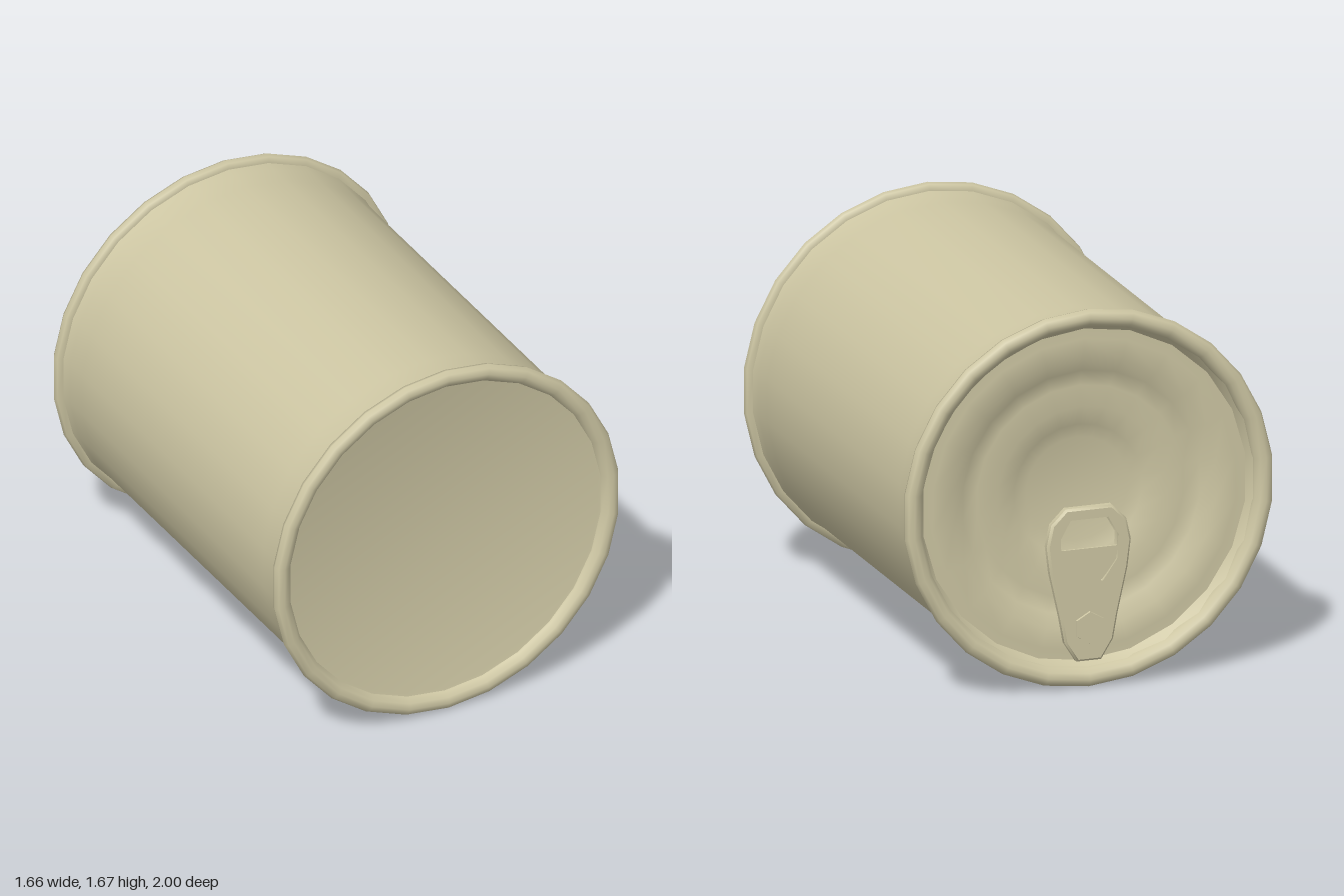
import * as THREE from 'three';
import { toCreasedNormals } from 'three/addons/utils/BufferGeometryUtils.js';

const AXIS_Y = 0.842;
const material = new THREE.MeshStandardMaterial({ color: 0xcdc6a3, side: THREE.DoubleSide });

function addMesh(parent, name, geometry, crease = 0.7) {
  const mesh = new THREE.Mesh(toCreasedNormals(geometry, crease), material);
  mesh.name = name;
  parent.add(mesh);
  return mesh;
}

// Lathe around the z axis; each point is [radius, z], listed from back to front
function turned(points, segments = 26) {
  const geometry = new THREE.LatheGeometry(points.map(([r, z]) => new THREE.Vector2(r, z)), segments);
  return geometry.rotateX(Math.PI / 2);
}

// Closed shape or path through [x, y] corners
function outline(corners, Type = THREE.Shape) {
  return new Type(corners.map(([x, y]) => new THREE.Vector2(x, y)));
}

// Full list of corners from the +x half, top to bottom
function mirrored(half) {
  return [...half, ...half.slice().reverse().map(([x, y]) => [-x, y])];
}

export function createModel() {
  const can = new THREE.Group();
  can.name = 'can';
  const body = new THREE.Group();
  body.position.y = AXIS_Y;
  can.add(body);

  // Side wall
  addMesh(body, 'wall', turned([
    [0.805, -0.955], [0.797, -0.9], [0.795, -0.8], [0.795, 0.8], [0.797, 0.9], [0.805, 0.955],
  ]));

  // Rolled rims at both ends
  const rim = [[0.76, 0.955], [0.80, 0.945], [0.83, 0.952], [0.836, 0.972], [0.825, 0.992],
    [0.80, 1.0], [0.775, 0.992], [0.757, 0.97], [0.755, 0.945]];
  addMesh(body, 'frontRim', turned(rim), 1.2);
  addMesh(body, 'backRim', turned(rim.map(([r, z]) => [r, -z]).reverse()), 1.2);

  // Flat closed end
  addMesh(body, 'frontLid', turned([[0.775, 0.965], [0.745, 0.957], [0, 0.957]]));

  // Opening end, stepping inward to a flat centre panel
  addMesh(body, 'backLid', turned([
    [0, -0.83], [0.23, -0.83], [0.29, -0.845], [0.38, -0.885], [0.47, -0.87],
    [0.54, -0.885], [0.6, -0.925], [0.69, -0.92], [0.735, -0.92], [0.765, -0.965],
  ], 22));

  // Pull tab hanging from the centre towards the lower edge
  const tab = new THREE.Group();
  tab.name = 'pullTab';
  tab.position.z = -0.975;
  body.add(tab);
  const plate = outline(mirrored([
    [0.1, -0.05], [0.16, -0.11], [0.18, -0.2], [0.165, -0.32], [0.12, -0.52], [0.1, -0.63], [0.05, -0.71],
  ]));
  plate.holes.push(
    outline(mirrored([[0.085, -0.09], [0.13, -0.17], [0.125, -0.28], [0.06, -0.37]]), THREE.Path),
  );
  addMesh(tab, 'tabPlate', new THREE.ExtrudeGeometry(plate, {
    depth: 0.025, bevelEnabled: true, bevelThickness: 0.01, bevelSize: 0.01, bevelSegments: 1,
  }));

  // Sunken web across the lower part of the tab opening
  const web = outline(mirrored([[0.14, -0.23], [0.13, -0.3], [0.06, -0.38]]));
  const webMesh = addMesh(tab, 'tabWeb', new THREE.ExtrudeGeometry(web, { depth: 0.01, bevelEnabled: false }));
  webMesh.position.z = 0.02;

  // Hexagonal rivet joining the tab to the lid
  const rivet = new THREE.CylinderGeometry(0.07, 0.08, 0.07, 6).rotateX(-Math.PI / 2);
  addMesh(tab, 'rivet', rivet).position.set(0, -0.57, 0.015);

  return can;
}
